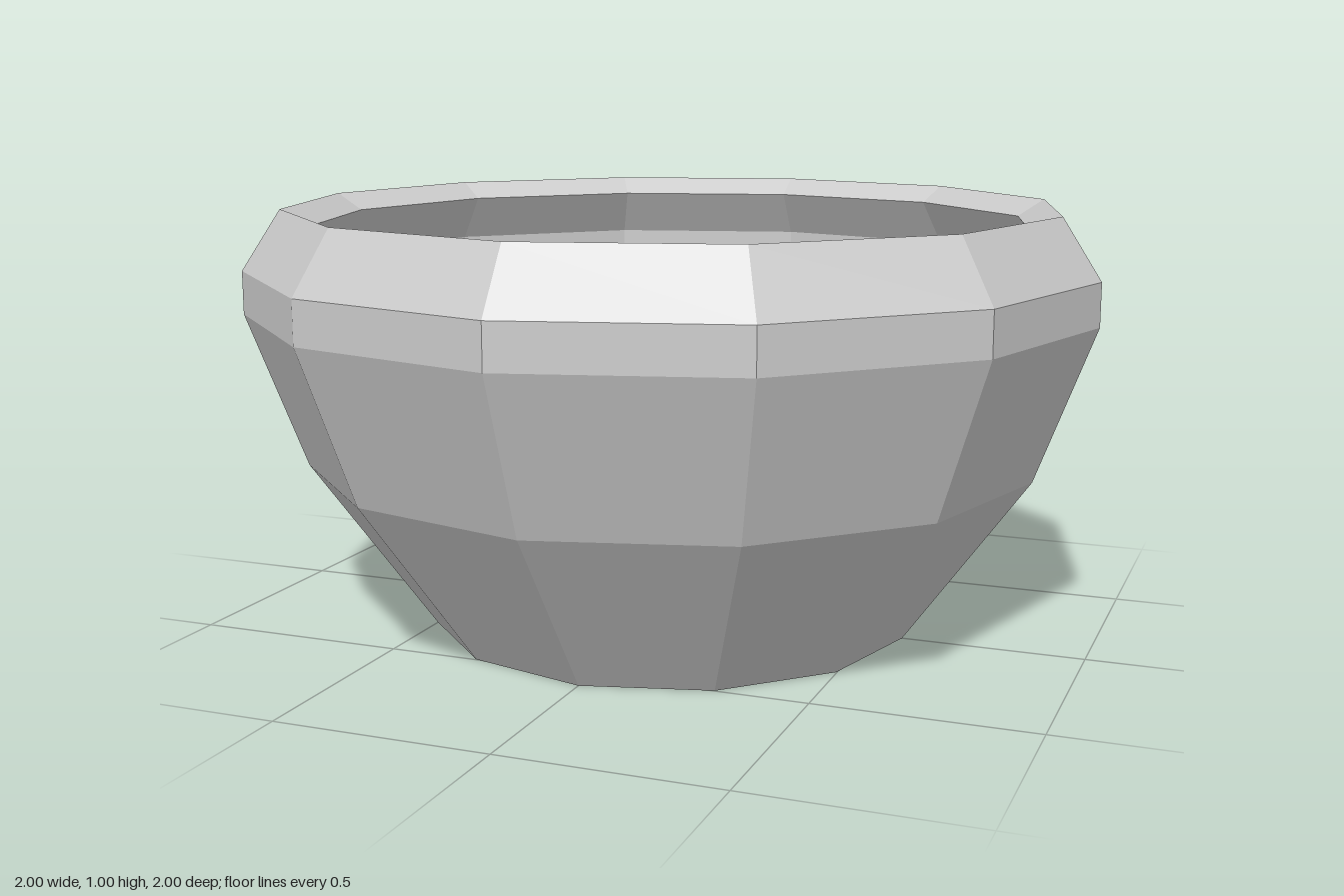
import * as THREE from 'three';

const SIDES = 12;

export function createModel() {
  const group = new THREE.Group();
  const material = new THREE.MeshStandardMaterial({ color: 0xcccccc, flatShading: true });

  const add = (name, geometry) => {
    const mesh = new THREE.Mesh(geometry, material);
    mesh.name = name;
    group.add(mesh);
    return mesh;
  };
  const lathe = (name, points) =>
    add(name, new THREE.LatheGeometry(points.map(([r, y]) => new THREE.Vector2(r, y)), SIDES));
  const disc = (name, radius, y, facing) => {
    const mesh = add(name, new THREE.CircleGeometry(radius, SIDES));
    mesh.rotation.x = -facing * Math.PI / 2;
    mesh.position.y = y;
  };

  // Faceted outer wall, curving back in to the rim
  lathe('outerWall', [[0.575, 0], [0.865, 0.4], [1, 0.76], [1, 0.86], [0.91, 1]]);

  // Rim sloping inwards to the lip
  lathe('rim', [[0.91, 1], [0.845, 0.96]]);

  // Undercut inner wall running down to the filling
  lathe('innerWall', [[0.845, 0.96], [0.915, 0.85], [0.915, 0.77]]);

  // Flat filling inside and closed underside
  disc('filling', 0.915, 0.77, 1);
  disc('base', 0.575, 0, -1);

  return group;
}
